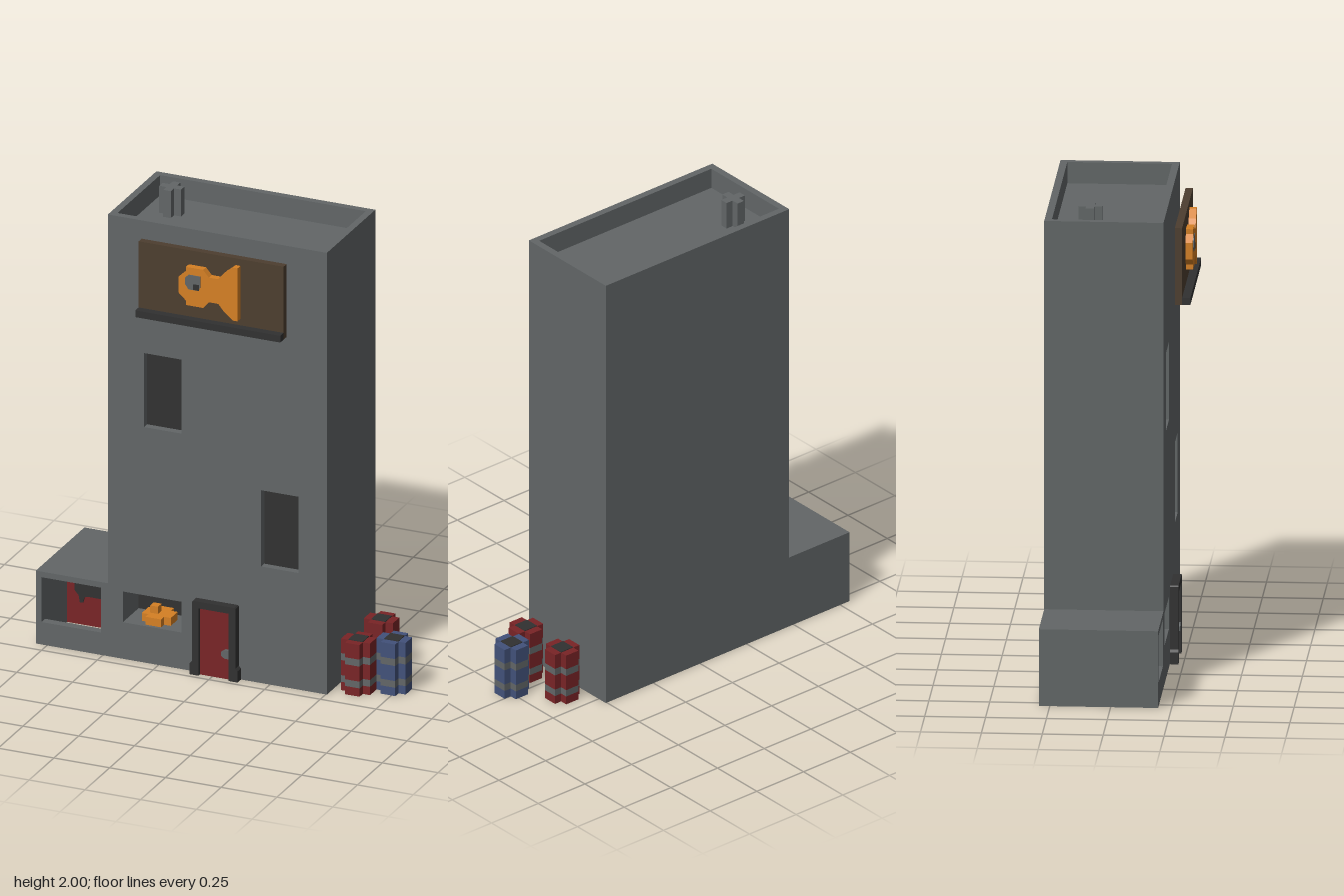
import * as THREE from 'three';

const mat = (name, color) => {
  const m = new THREE.MeshStandardMaterial({ color });
  m.name = name;
  return m;
};

export function createModel() {
  const model = new THREE.Group();
  model.name = 'streetBuilding';
  const grey = mat('concreteGrey', 0x626667);
  const dark = mat('charcoal', 0x313131);
  const red = mat('darkRed', 0x792426);
  const blue = mat('dustyBlue', 0x42517a);
  const orange = mat('orange', 0xd58024);
  const brown = mat('darkBrown', 0x4d3e2f);

  const add = (name, geo, material, parent = model) => {
    const mesh = new THREE.Mesh(geo, material);
    mesh.name = name;
    parent.add(mesh);
    return mesh;
  };
  // box given by its limits on each axis
  const box = (name, x0, x1, y0, y1, z0, z1, material, parent) => {
    const g = new THREE.BoxGeometry(x1 - x0, y1 - y0, z1 - z0);
    g.translate((x0 + x1) / 2, (y0 + y1) / 2, (z0 + z1) / 2);
    return add(name, g, material, parent);
  };
  const shapeOf = (pts) => new THREE.Shape(pts.map(([x, y]) => new THREE.Vector2(x, y)));
  const rect = ([x0, x1, y0, y1]) => [[x0, y0], [x1, y0], [x1, y1], [x0, y1]];
  // front-facing outline with rectangular holes, extruded from z0 to z1
  const slab = (name, pts, holes, z0, z1, material, parent) => {
    const s = shapeOf(pts);
    holes.forEach((h) => s.holes.push(new THREE.Path(shapeOf(rect(h)).getPoints())));
    const g = new THREE.ExtrudeGeometry(s, { depth: z1 - z0, bevelEnabled: false });
    g.translate(0, 0, z0);
    return add(name, g, material, parent);
  };
  // upright extrusion of a floor outline given in x and z
  const upright = (name, shape, y0, y1, material, parent) => {
    const g = new THREE.ExtrudeGeometry(shape, { depth: y1 - y0, bevelEnabled: false });
    g.rotateX(-Math.PI / 2);
    g.translate(0, y0, 0);
    return add(name, g, material, parent);
  };
  const cross = (r, a) => shapeOf([
    [-a, -r], [a, -r], [a, -a], [r, -a], [r, a], [a, a],
    [a, r], [-a, r], [-a, a], [-r, a], [-r, -a], [-a, -a],
  ]);

  // Main walls, layered in depth so that each opening ends at its own back
  const L = -0.8, T = -0.477, R = 0.505, roof = 1.88, back = -0.295, front = 0.195;
  const zWin = 0.158, zHatch = 0.03, zRoom = -0.07;
  const upper = [-0.315, -0.148, 1.05, 1.38];
  const lower = [0.21, 0.377, 0.52, 0.86];
  const hatch = [-0.41, -0.148, 0.163, 0.3];
  const annexWindow = [-0.775, -0.508, 0.1, 0.3];
  const outer = [[R, 0], [R, roof], [T, roof], [T, 0.325], [L, 0.325], [L, 0]];
  const notched = [...outer, [-0.775, 0], [-0.775, 0.3], [-0.508, 0.3], [-0.508, 0]];
  slab('frontWall', outer, [upper, lower, hatch, annexWindow], zWin, front, grey);
  slab('hatchWalls', notched, [hatch], zHatch, zWin, grey);
  slab('annexRoomWalls', notched, [], zRoom, zHatch, grey);
  slab('rearBlock', outer, [], back, zRoom, grey);

  // Parapet around the sunken roof
  const rim = shapeOf(rect([T, R, -front, -back]));
  rim.holes.push(new THREE.Path(shapeOf(rect([T + 0.03, R - 0.03, -front + 0.03, -back - 0.03])).getPoints()));
  upright('parapet', rim, roof, 1.97, grey);
  upright('roofVent', cross(0.049, 0.017), roof, 2, grey).position.set(-0.328, 0, -0.115);

  // Dark panes at the back of the recesses
  const pane = (name, [x0, x1, y0, y1], z) => box(name, x0, x1, y0, y1, z, z + 0.005, dark);
  pane('upperWindowPane', upper, zWin);
  pane('lowerWindowPane', lower, zWin);
  pane('hatchBack', hatch, zHatch);

  // Annex room: red rear panel with a dark silhouette
  box('annexRedPanel', -0.775, -0.508, 0, 0.3, zRoom, zRoom + 0.008, red);
  slab('annexSilhouette', [
    [-0.715, 0.1], [-0.7, 0.1], [-0.695, 0.125], [-0.675, 0.13], [-0.61, 0.13], [-0.59, 0.125],
    [-0.585, 0.1], [-0.57, 0.1], [-0.565, 0.125], [-0.54, 0.15], [-0.54, 0.24], [-0.555, 0.26],
    [-0.72, 0.26], [-0.738, 0.24], [-0.738, 0.15], [-0.72, 0.13],
  ], [], zRoom + 0.008, zRoom + 0.013, dark);

  // Snack on the hatch counter
  const snack = new THREE.Group();
  snack.name = 'counterSnack';
  snack.position.set(-0.28, 0.163, 0.115);
  model.add(snack);
  upright('snackBase', cross(0.065, 0.035), 0, 0.035, orange, snack);
  box('snackTop', -0.035, 0, 0.035, 0.067, -0.018, 0.018, orange, snack);

  // Door
  slab('doorFrame', [
    [0.12, 0], [0.12, 0.05], [0.11, 0.06], [0.11, 0.325], [0.105, 0.33],
    [-0.08, 0.33], [-0.085, 0.325], [-0.085, 0.06], [-0.095, 0.05], [-0.095, 0],
    [-0.055, 0], [-0.055, 0.3], [0.08, 0.3], [0.08, 0],
  ], [], front, 0.23, dark);
  box('door', -0.055, 0.08, 0, 0.3, front, 0.215, red);
  slab('doorKnob', [
    [0.045, 0.105], [0.06, 0.095], [0.08, 0.095], [0.08, 0.133], [0.06, 0.133], [0.045, 0.123],
  ], [], 0.215, 0.228, grey);

  // Sign board with ledge and fish
  const sign = new THREE.Group();
  sign.name = 'fishSign';
  model.add(sign);
  box('signBoard', -0.31, 0.34, 1.58, 1.905, 0.23, 0.26, brown, sign);
  box('signLedge', -0.31, 0.34, 1.58, 1.61, 0.26, 0.294, dark, sign);
  const fishTop = [
    [-0.118, 0.035], [-0.085, 0.065], [-0.085, 0.085], [-0.008, 0.085], [0.018, 0.055],
    [0.06, 0.055], [0.085, 0.085], [0.125, 0.118], [0.146, 0.118],
  ];
  const fish = [...fishTop, ...fishTop.map(([x, y]) => [x, -y]).reverse()];
  slab('fish', fish.map(([x, y]) => [x, y + 1.757]), [], 0.26, 0.29, orange, sign);
  slab('fishEye', [
    [-0.072, 1.745], [-0.03, 1.745], [-0.02, 1.76], [-0.02, 1.81], [-0.072, 1.81],
    [-0.087, 1.795], [-0.087, 1.765],
  ], [], 0.29, 0.293, grey, sign);
  box('fishPupil', -0.05, -0.024, 1.747, 1.772, 0.293, 0.295, dark, sign);

  // Barrels: stacked cross-shaped bands with a dark lid
  const barrel = (name, x, z, colour) => {
    const b = new THREE.Group();
    b.name = name;
    b.position.set(x, 0, z);
    model.add(b);
    const levels = [0, 0.037, 0.067, 0.134, 0.165, 0.23];
    for (let i = 0; i < 5; i++) {
      const band = i % 2 === 1;
      upright(band ? 'barrelBand' : 'barrelBody', cross(0.065, 0.0325),
        levels[i], levels[i + 1], band ? grey : colour, b);
    }
    box('barrelLid', -0.032, 0.032, 0.23, 0.233, -0.032, 0.032, dark, b);
  };
  barrel('rearRedBarrel', 0.604, -0.134, red);
  barrel('frontRedBarrel', 0.604, 0.096, red);
  barrel('blueBarrel', 0.735, 0.031, blue);

  return model;
}
